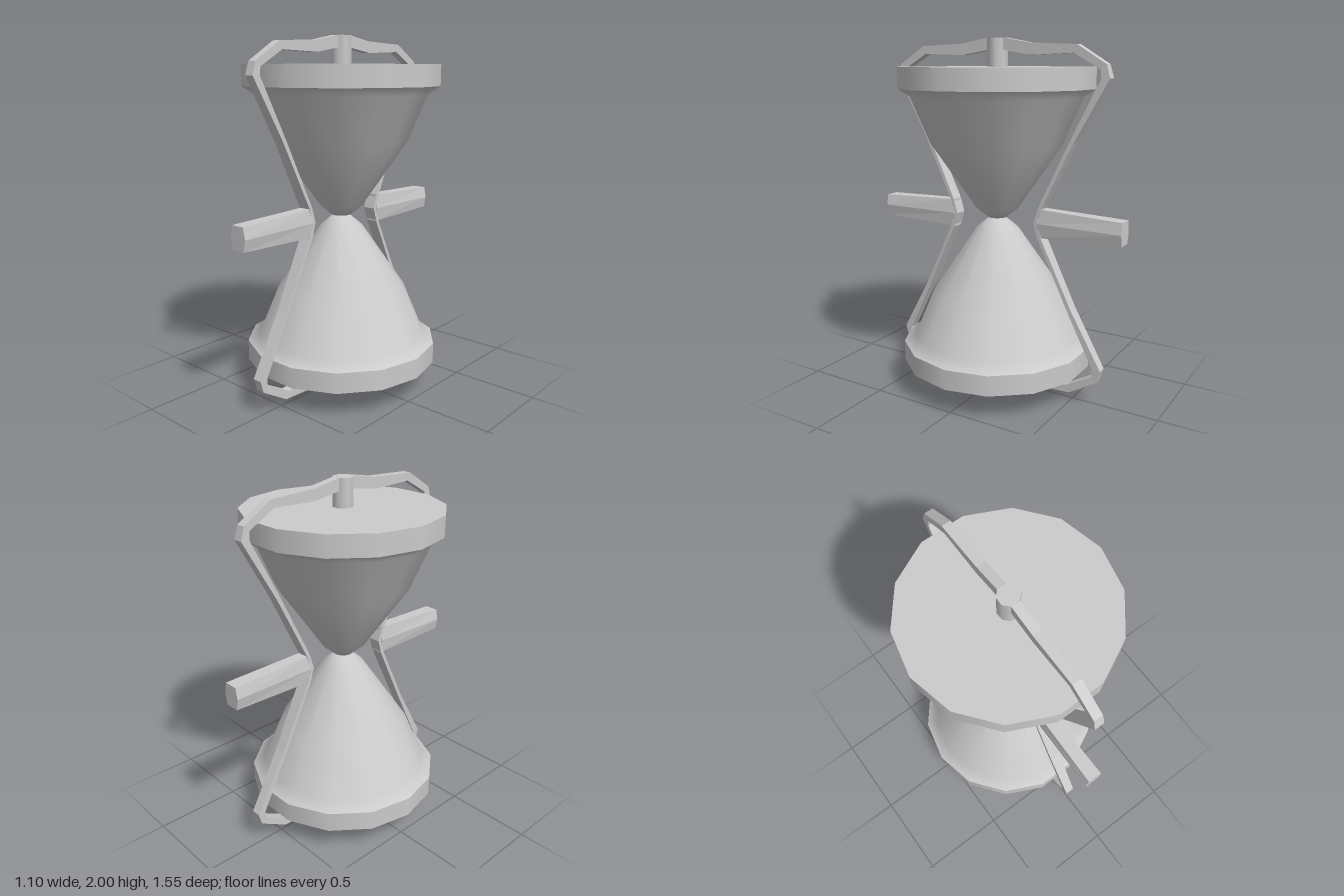
import * as THREE from 'three';

const material = new THREE.MeshStandardMaterial({ color: 0xcccccc });
const flat = new THREE.MeshStandardMaterial({ color: 0xcccccc, flatShading: true });
const SIDES = 14;

function add(parent, name, geometry, mat = material) {
  const mesh = new THREE.Mesh(geometry, mat);
  mesh.name = name;
  parent.add(mesh);
  return mesh;
}

// Bent strap: a closed rectangular band lofted around the y-z plane
function strapGeometry() {
  // One quarter, top centre to waist: outer z, y; inner z, y; half width.
  // y is measured from the waist height of 1.
  const quarter = [
    [0, 1.0, 0, 0.934, 0.025],
    [0.053, 1.0, 0.053, 0.934, 0.025],
    [0.21, 0.972, 0.217, 0.908, 0.025],
    [0.487, 0.96, 0.47, 0.917, 0.025],
    [0.652, 0.86, 0.62, 0.833, 0.025],
    [0.673, 0.79, 0.626, 0.79, 0.027],
    [0.484, 0.457, 0.458, 0.457, 0.032],
    [0.302, 0.086, 0.28, 0.086, 0.037],
    [0.28, 0, 0.254, 0, 0.037],
  ];
  const mirror = (list, sz, sy) =>
    list.map(([oz, oy, iz, iy, w]) => [oz * sz, oy * sy, iz * sz, iy * sy, w]);
  const half = [...quarter, ...mirror(quarter, 1, -1).reverse().slice(1)];
  const loop = [...half, ...mirror(half, -1, 1).reverse().slice(1, -1)];
  const rings = loop.map(([oz, oy, iz, iy, w]) => [
    [w, 1 + oy, oz], [w, 1 + iy, iz], [-w, 1 + iy, iz], [-w, 1 + oy, oz],
  ]);
  const positions = [];
  rings.forEach((a, i) => {
    const b = rings[(i + 1) % rings.length];
    for (let k = 0; k < 4; k++) {
      const q = (k + 3) % 4;
      for (const p of [a[k], a[q], b[q], a[k], b[q], b[k]]) positions.push(...p);
    }
  });
  const geometry = new THREE.BufferGeometry();
  geometry.setAttribute('position', new THREE.Float32BufferAttribute(positions, 3));
  geometry.computeVertexNormals();
  return geometry;
}

// Six-sided grip, wider but shallower toward its outer end
function handleGeometry() {
  const z0 = 0.275, z1 = 0.774;
  const section = new THREE.Shape(
    [[0.054, 0], [0.041, 0.064], [-0.041, 0.064], [-0.054, 0], [-0.041, -0.064], [0.041, -0.064]]
      .map(([x, y]) => new THREE.Vector2(x, y)));
  const geometry = new THREE.ExtrudeGeometry(section, { depth: z1 - z0, bevelEnabled: false });
  const pos = geometry.attributes.position;
  for (let i = 0; i < pos.count; i++) {
    const t = pos.getZ(i) / (z1 - z0);
    pos.setXYZ(i,
      pos.getX(i) * THREE.MathUtils.lerp(0.76, 1, t),
      1 + pos.getY(i) * THREE.MathUtils.lerp(1.27, 1, t),
      z0 + pos.getZ(i));
  }
  geometry.computeVertexNormals();
  return geometry;
}

export function createModel() {
  const group = new THREE.Group();
  group.name = 'hourglass';

  // Bulb profile from the neck out to the end plate
  const profile = [[0, 0.004], [0.055, 0.004], [0.122, 0.06], [0.375, 0.428], [0.483, 0.685], [0.55, 0.731]]
    .map(([r, y]) => new THREE.Vector2(r, y));

  for (const [side, angle] of [['upper', 0], ['lower', Math.PI]]) {
    const half = new THREE.Group();
    half.name = side + 'Half';
    half.position.y = 1;
    half.rotation.x = angle;
    group.add(half);

    // Glass bulb
    add(half, side + 'Bulb', new THREE.LatheGeometry(profile, SIDES).rotateY(Math.PI / 2));

    // End plate
    add(half, side + 'Plate',
      new THREE.CylinderGeometry(0.55, 0.55, 0.115, SIDES).rotateY(Math.PI / 2).translate(0, 0.788, 0));

    // Pivot pin joining plate and strap
    add(half, side + 'Pin',
      new THREE.CylinderGeometry(0.058, 0.058, 0.16, 8).rotateY(Math.PI / 8).translate(0, 0.92, 0));
  }

  // Strap frame
  add(group, 'strapFrame', strapGeometry(), flat);

  // Handles at the waist
  const handle = handleGeometry();
  add(group, 'frontHandle', handle, flat);
  add(group, 'backHandle', handle, flat).rotation.y = Math.PI;

  return group;
}
